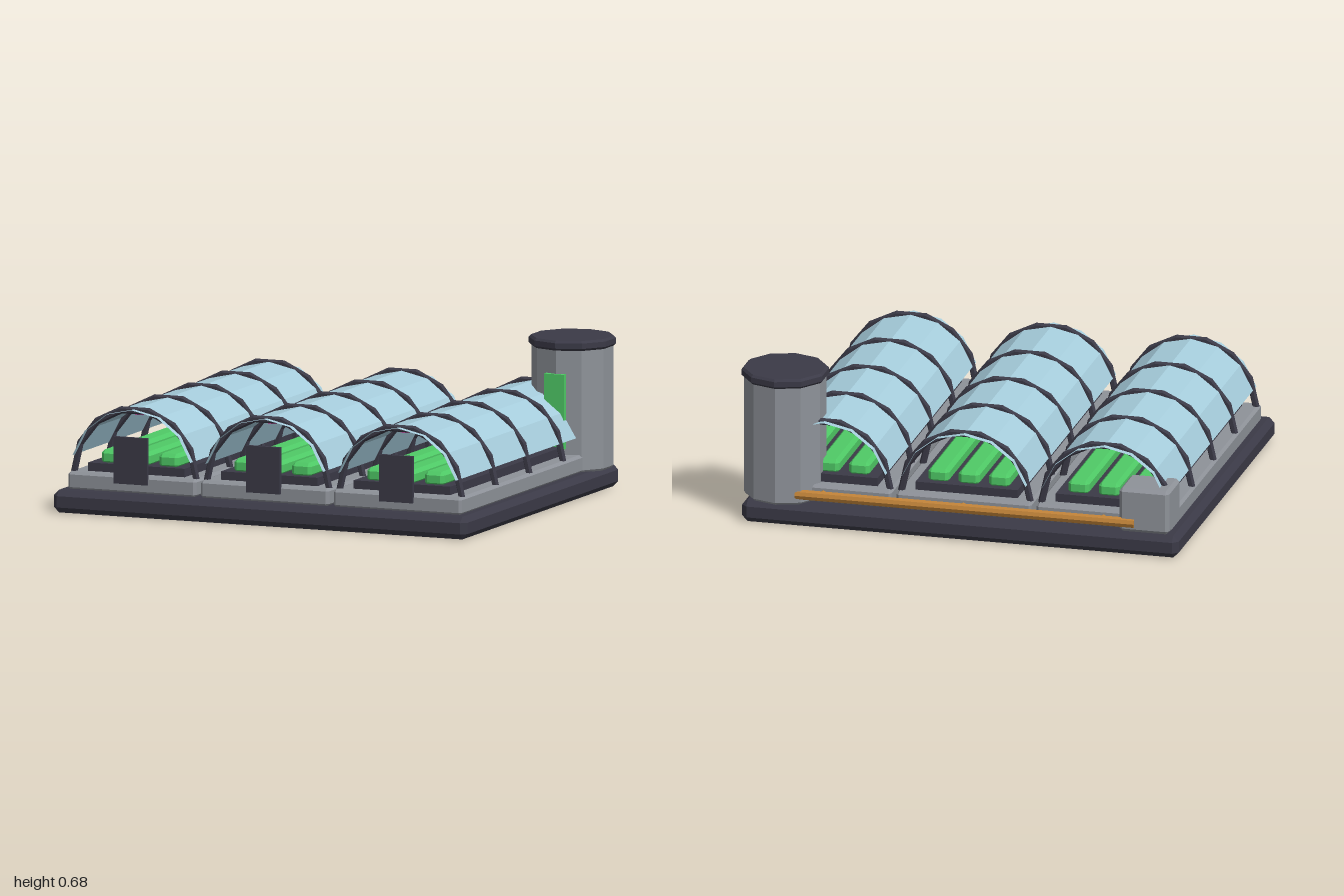
import * as THREE from 'three';
import { ConvexGeometry } from 'three/addons/geometries/ConvexGeometry.js';

const paint = (name, color, extra = {}) => new THREE.MeshStandardMaterial({ name, color, ...extra });

// Facet a geometry so each face has its own normal
function faceted(geo) {
  const g = geo.index ? geo.toNonIndexed() : geo;
  g.computeVertexNormals();
  return g;
}

// Box with every edge cut at 45 degrees
function chamferBox(w, h, d, b) {
  const pts = [];
  for (const sx of [-1, 1]) for (const sy of [-1, 1]) for (const sz of [-1, 1]) {
    for (let axis = 0; axis < 3; axis++) {
      const inset = [b, b, b];
      inset[axis] = 0;
      pts.push(new THREE.Vector3(sx * (w / 2 - inset[0]), sy * (h / 2 - inset[1]), sz * (d / 2 - inset[2])));
    }
  }
  return faceted(new ConvexGeometry(pts));
}

function lathe(points, sides) {
  return faceted(new THREE.LatheGeometry(points.map(([r, y]) => new THREE.Vector2(r, y)), sides));
}

export function createModel() {
  const root = new THREE.Group();
  root.name = 'greenhouseFarm';
  const dark = paint('darkFrame', 0x3b3a47);
  const metal = paint('greyMetal', 0x8e9299);
  const glass = paint('paleBlueGlass', 0xa6cddc, { side: THREE.DoubleSide });
  const green = paint('leafGreen', 0x4fca66);
  const copper = paint('copperPipe', 0xbf8238);
  const violet = paint('growLightViolet', 0xb0509a);

  const add = (parent, name, geo, mat, x = 0, y = 0, z = 0) => {
    const mesh = new THREE.Mesh(geo, mat);
    mesh.name = name;
    mesh.position.set(x, y, z);
    parent.add(mesh);
    return mesh;
  };

  // Foundation slab
  add(root, 'foundation', chamferBox(1.97, 0.1, 1.695, 0.025), dark, -0.015, 0.05, 0.0125);

  // Shared greenhouse geometry
  const midZ = 0.015, springY = 0.175, archR = 0.29, length = 1.56;
  const plinthGeo = chamferBox(0.61, 0.08, length, 0.012);
  const bedGeo = new THREE.BoxGeometry(0.46, 0.04, 1.45);
  const rowGeo = chamferBox(0.095, 0.065, 1.39, 0.016);
  const ribGeo = faceted(new THREE.TorusGeometry(archR, 0.016, 6, 7, Math.PI));
  const sweep = THREE.MathUtils.degToRad(150);
  const glassGeo = faceted(new THREE.CylinderGeometry(archR, archR, length, 6, 1, true, Math.PI - sweep / 2, sweep)
    .rotateX(Math.PI / 2));
  const lightGeo = new THREE.BoxGeometry(0.034, 0.02, 1.4);
  const doorGeo = new THREE.BoxGeometry(0.16, 0.207, 0.018);
  const feedGeo = faceted(new THREE.CylinderGeometry(0.014, 0.014, 0.07, 6).rotateX(Math.PI / 2));

  // Three matching vaulted greenhouses
  for (let i = -1; i <= 1; i++) {
    const house = new THREE.Group();
    house.name = 'greenhouse';
    house.position.x = -0.016 + i * 0.632;
    root.add(house);
    add(house, 'plinth', plinthGeo, metal, 0, 0.136, midZ);
    add(house, 'plantingBed', bedGeo, dark, 0, 0.193, midZ);
    for (const x of [-0.137, 0, 0.137]) add(house, 'cropRow', rowGeo, green, x, 0.236, midZ);
    add(house, 'glassVault', glassGeo, glass, 0, springY, midZ);
    for (let k = -2; k <= 2; k++) add(house, 'archRib', ribGeo, dark, 0, springY, midZ + k * 0.368);
    add(house, 'growLight', lightGeo, violet, 0, 0.443, midZ);
    add(house, 'door', doorGeo, dark, 0, 0.243, 0.799);
    add(house, 'feedPipe', feedGeo, copper, 0, 0.142, -0.78);
  }

  // Water main along the back
  add(root, 'waterMain', faceted(new THREE.CylinderGeometry(0.023, 0.023, 1.53, 8).rotateZ(Math.PI / 2)),
    copper, -0.035, 0.142, -0.807);

  // Pump housing in the back corner
  add(root, 'pumpHousing', chamferBox(0.225, 0.2, 0.205, 0.015), metal, -0.842, 0.2, -0.7125);
  add(root, 'pumpPanel', new THREE.BoxGeometry(0.12, 0.06, 0.008), glass, -0.842, 0.23, -0.607);

  // Water tank with lid and level gauge
  const tank = new THREE.Group();
  tank.name = 'waterTank';
  tank.position.set(0.812, 0, -0.672);
  root.add(tank);
  add(tank, 'tankBody', lathe([[0, 0.098], [0.172, 0.098], [0.18, 0.108], [0.18, 0.64], [0, 0.64]], 10), metal);
  add(tank, 'tankLid', lathe([[0, 0.636], [0.182, 0.636], [0.192, 0.646], [0.192, 0.67], [0.182, 0.68], [0, 0.68]], 10), dark);
  add(tank, 'levelGauge', new THREE.BoxGeometry(0.095, 0.33, 0.03), green, -0.005, 0.368, 0.177);

  return root;
}
